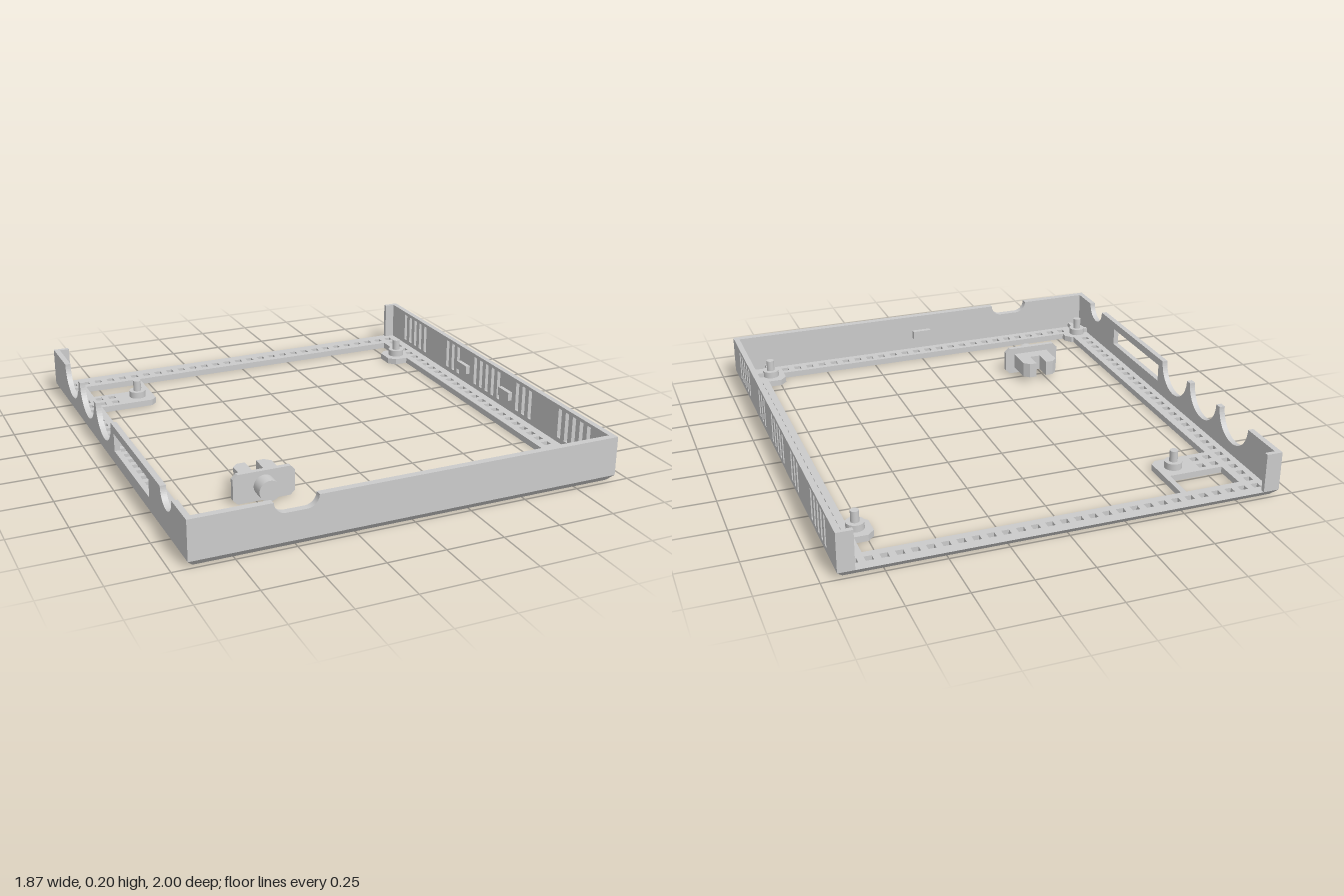
import * as THREE from 'three';

const X = 0.935, Z = 1, H = 0.2, LIP = 0.028, T = 0.025;

export function createModel() {
  const model = new THREE.Group();
  const mat = new THREE.MeshStandardMaterial({ color: 0xcccccc, flatShading: false });

  const add = (name, geo, x = 0, y = 0, z = 0) => {
    const mesh = new THREE.Mesh(geo, mat);
    mesh.name = name;
    mesh.position.set(x, y, z);
    model.add(mesh);
    return mesh;
  };
  const box = (name, x0, x1, y0, y1, z0, z1) =>
    add(name, new THREE.BoxGeometry(x1 - x0, y1 - y0, z1 - z0), (x0 + x1) / 2, (y0 + y1) / 2, (z0 + z1) / 2);
  const poly = (pts) => pts.map(([a, b]) => new THREE.Vector2(a, b));
  const rect = (a0, a1, b0, b1) => new THREE.Path(poly([[a0, b0], [a1, b0], [a1, b1], [a0, b1]]));
  const extrude = (shape, depth) =>
    new THREE.ExtrudeGeometry(shape, { depth, bevelEnabled: false, curveSegments: 16 });

  // Perforated floor ring, with corner pads and the back-left platform
  const floor = new THREE.Shape(poly([[-X + T, -Z + T], [X - T, -Z + T], [X - T, Z - T], [-X + T, Z - T]]));
  floor.holes.push(new THREE.Path(poly([
    [-0.545, -0.885], [0.81, -0.885], [0.81, -0.77], [0.75, -0.77], [0.72, -0.74], [0.72, -0.66],
    [0.75, -0.63], [0.81, -0.63], [0.81, 0.805], [0.75, 0.805], [0.72, 0.835], [0.72, 0.885],
    [-0.78, 0.885], [-0.78, 0.855], [-0.805, 0.825], [-0.815, 0.825], [-0.815, -0.595],
    [-0.57, -0.595], [-0.545, -0.62],
  ])));
  floor.holes.push(rect(-0.815, -0.57, -0.885, -0.74));
  const R = 0.016, P = 0.0615;
  const punch = (x, z) => floor.holes.push(rect(x - R, x + R, z - R, z + R));
  for (let i = 0; i < 29; i++) punch(-0.865 + i * P, -0.935);
  for (let i = 1; i < 29; i++) {
    punch(-0.865, -0.935 + i * P);
    punch(0.857, -0.935 + i * P);
  }
  for (let i = 0; i < 25; i++) punch(-0.785 + i * 0.062, 0.925);
  for (const x of [-0.8, -0.738]) for (const z of [-0.7, -0.638]) punch(x, z);
  const floorGeo = extrude(floor, LIP).rotateX(Math.PI / 2).translate(0, LIP, 0);
  // flare the outer top edge to form the bottom chamfer
  const pos = floorGeo.attributes.position;
  for (let i = 0; i < pos.count; i++) {
    if (pos.getY(i) < LIP / 2) continue;
    const x = pos.getX(i), z = pos.getZ(i);
    if (Math.abs(x) > X - T - 1e-4) pos.setX(i, Math.sign(x) * X);
    if (Math.abs(z) > Z - T - 1e-4) pos.setZ(i, Math.sign(z) * Z);
  }
  floorGeo.computeVertexNormals();
  add('floorRing', floorGeo);

  // Front wall with a rounded cable notch
  const front = new THREE.Shape();
  front.moveTo(-X, LIP);
  front.lineTo(X, LIP);
  front.lineTo(X, H);
  front.lineTo(-0.41, H);
  front.absarc(-0.46, H, 0.05, 0, -Math.PI / 2, true);
  front.absarc(-0.545, H, 0.05, -Math.PI / 2, -Math.PI, true);
  front.lineTo(-X, H);
  add('frontWall', extrude(front, 0.03), 0, 0, Z - 0.03);

  // Side walls are drawn in (z, y) and turned to face sideways
  const sideWall = (name, shape, x) => add(name, extrude(shape, T).rotateY(-Math.PI / 2), x);

  // Left wall with round cut-outs along the top and a long window
  const left = new THREE.Shape();
  left.moveTo(Z - 0.03, H);
  for (const [z, r] of [[0.76, 0.07], [-0.11, 0.12], [-0.38, 0.12], [-0.65, 0.12]]) {
    left.lineTo(z + r, H);
    left.absarc(z, H, r, 0, -Math.PI, true);
  }
  left.lineTo(-Z, H);
  left.lineTo(-Z, LIP);
  left.lineTo(Z - 0.03, LIP);
  left.holes.push(rect(0.05, 0.54, 0.085, 0.165));
  sideWall('leftWall', left, -X + T);

  // Right wall with groups of vent slots
  const right = new THREE.Shape(poly([[-Z, LIP], [Z - 0.03, LIP], [Z - 0.03, H], [-Z, H]]));
  for (const [centre, n] of [[0.725, 5], [0.325, 3], [0, 5], [-0.325, 3], [-0.725, 5]]) {
    for (let i = 0; i < n; i++) {
      const z = centre + (i - (n - 1) / 2) * 0.0535;
      right.holes.push(rect(z - 0.0125, z + 0.0125, 0.05, 0.185));
    }
  }
  sideWall('rightWall', right, X);

  // Short returns at the open back
  for (const s of [-1, 1]) {
    const a = s * (X - T), b = s * 0.865;
    box('backReturn', Math.min(a, b), Math.max(a, b), LIP, H, -Z, -Z + 0.02);
  }

  // Snap bumps on the inside of the walls
  for (const z of [-0.205, 0.182]) box('snapBump', 0.89, X - T, 0.085, 0.125, z - 0.045, z + 0.045);
  box('snapBump', -0.065, 0.025, 0.085, 0.125, 0.947, 0.97);

  // Screw bosses with locating pins
  for (const [x, z] of [[-0.855, 0.875], [0.785, 0.875], [0.785, -0.7], [-0.62, -0.67]]) {
    add('boss', new THREE.CylinderGeometry(0.038, 0.038, 0.03, 32), x, LIP + 0.015, z);
    add('bossPin', new THREE.CylinderGeometry(0.018, 0.018, 0.05, 24), x, LIP + 0.055, z);
  }
  // Ribs tying the front bosses to the walls
  box('bossRib', 0.82, X - T, LIP, 0.05, 0.865, 0.885);
  box('bossRib', 0.775, 0.795, LIP, 0.05, 0.91, 0.97);
  box('bossRib', -X + T, -0.89, LIP, 0.05, 0.865, 0.885);
  box('bossRib', -0.865, -0.845, LIP, 0.05, 0.91, 0.97);

  // Separate clip: forked jaw, flange and round button
  const jaw = new THREE.Shape(poly([
    [-0.545, 0.555], [-0.545, 0.435], [-0.52, 0.41], [-0.485, 0.41], [-0.485, 0.495], [-0.435, 0.495],
    [-0.435, 0.41], [-0.4, 0.41], [-0.375, 0.435], [-0.375, 0.555],
  ]));
  add('clipJaw', extrude(jaw, 0.07).rotateX(Math.PI / 2), 0, 0.1, 0);
  const flange = new THREE.Shape(poly([
    [-0.58, 0], [-0.35, 0], [-0.33, 0.02], [-0.33, 0.11], [-0.35, 0.13], [-0.58, 0.13], [-0.6, 0.11], [-0.6, 0.02],
  ]));
  add('clipFlange', extrude(flange, 0.022), 0, 0, 0.554);
  add('clipButton', new THREE.CylinderGeometry(0.046, 0.046, 0.064, 32).rotateX(Math.PI / 2), -0.465, 0.065, 0.608);

  return model;
}
